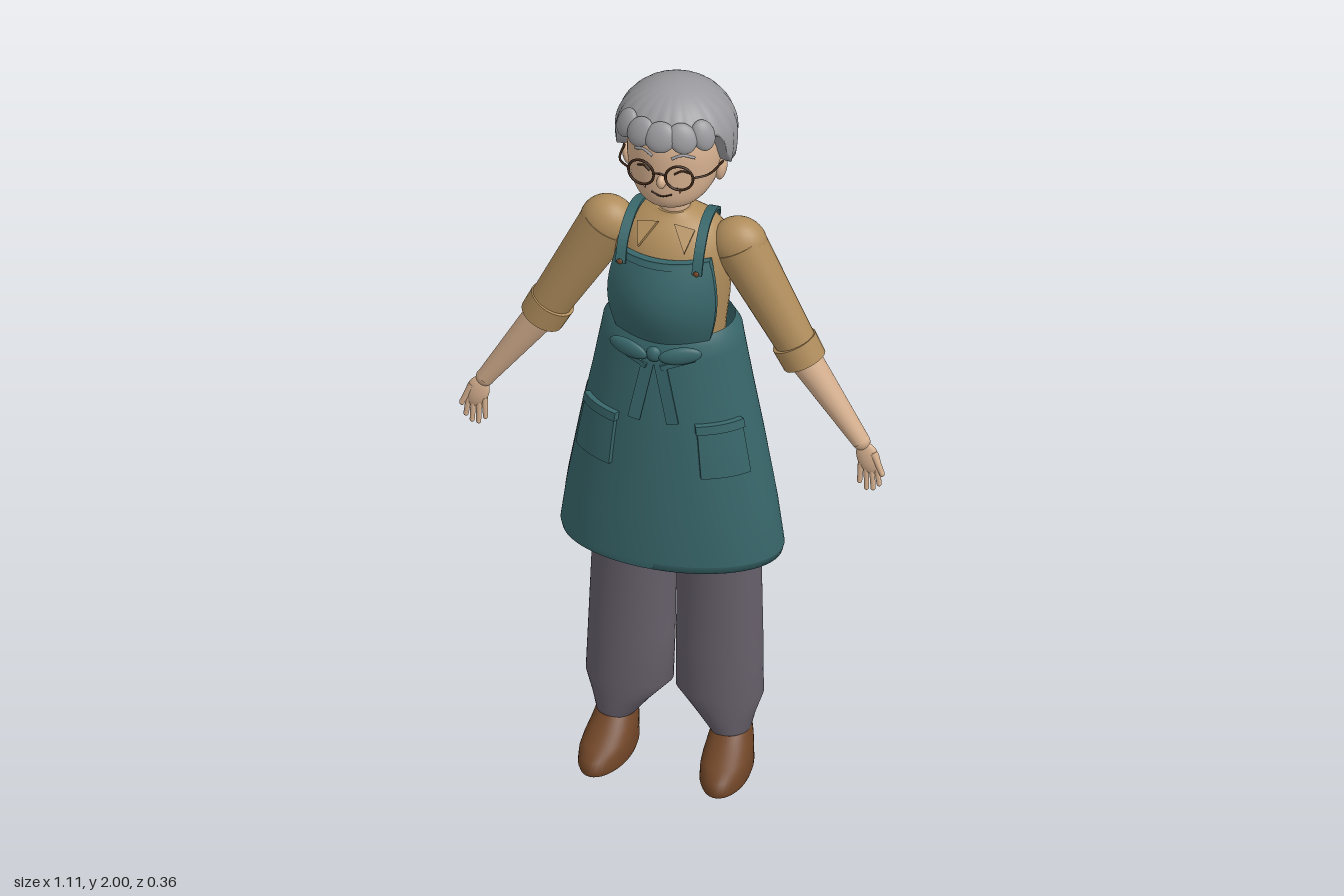
import * as THREE from 'three';

const mat = (name, color, side = THREE.FrontSide) => {
  const m = new THREE.MeshStandardMaterial({ color, side });
  m.name = name;
  return m;
};
const skin = mat('skin', 0xd6b08f);
const shirt = mat('tan shirt', 0xb08d5c);
const teal = mat('teal apron', 0x38666a, THREE.DoubleSide);
const grey = mat('grey trousers', 0x655e69);
const brown = mat('brown leather', 0x6f4527);
const silver = mat('silver hair', 0x9a9a9e);
const dark = mat('dark frame', 0x3c2618);

const V = (x, y, z) => new THREE.Vector3(x, y, z);
const { lerp, smoothstep, degToRad } = THREE.MathUtils;

// Closed-loop surface: rows run upward, columns run around; optional flat caps
function grid(fn, rows, cols, caps = false) {
  const pos = [], idx = [];
  for (let i = 0; i <= rows; i++)
    for (let j = 0; j < cols; j++) pos.push(...fn(i / rows, (j / cols) * Math.PI * 2, i, j));
  for (let i = 0; i < rows; i++)
    for (let j = 0; j < cols; j++) {
      const k = (j + 1) % cols, a = i * cols + j, c = i * cols + k;
      idx.push(a, a + cols, c, c, a + cols, c + cols);
    }
  if (caps)
    for (const top of [0, 1]) {
      const base = pos.length / 3, mid = [0, 0, 0];
      for (let j = 0; j < cols; j++) {
        const p = fn(top, (j / cols) * Math.PI * 2, top * rows, j);
        p.forEach((v, n) => (mid[n] += v / cols));
        pos.push(...p);
      }
      pos.push(...mid);
      for (let j = 0; j < cols; j++) {
        const a = base + j, b = base + ((j + 1) % cols);
        idx.push(base + cols, top ? b : a, top ? a : b);
      }
    }
  const g = new THREE.BufferGeometry();
  g.setAttribute('position', new THREE.Float32BufferAttribute(pos, 3));
  g.setIndex(idx);
  g.computeVertexNormals();
  return g;
}
// Stack of ellipses given as [y, cx, cz, rx, rz]
const loft = (r, caps = true, cols = 40) => grid((v, a, i) =>
  [r[i][1] + Math.cos(a) * r[i][3], r[i][0], r[i][2] + Math.sin(a) * r[i][4]], r.length - 1, cols, caps);

const SKIRT = [[0.655, 0, 0.007, 0.284, 0.165], [0.675, 0, 0.007, 0.289, 0.168], [0.8, 0, 0.007, 0.272, 0.165],
  [1, 0, 0.007, 0.236, 0.157], [1.15, 0, 0.005, 0.206, 0.148], [1.27, 0, 0.004, 0.184, 0.138],
  [1.305, 0, 0.003, 0.178, 0.134], [1.33, 0, 0, 0.158, 0.125]];
function skirtAt(y) {
  let i = 0;
  while (i < SKIRT.length - 2 && y > SKIRT[i + 1][0]) i++;
  const t = (y - SKIRT[i][0]) / (SKIRT[i + 1][0] - SKIRT[i][0]);
  return SKIRT[i].map((v, k) => lerp(v, SKIRT[i + 1][k], t));
}
// Reshape the points of a box by a rule
function warp(geo, fn) {
  const p = geo.attributes.position;
  for (let i = 0; i < p.count; i++) p.setXYZ(i, ...fn(p.getX(i), p.getY(i), p.getZ(i)));
  geo.computeVertexNormals();
  return geo;
}
// Thin plate wrapped on the skirt between two angles
const wrapped = (a0, a1, y0, y1, off, thick) => warp(new THREE.BoxGeometry(1, 1, 1, 10, 6, 1), (x, y, z) => {
  const a = degToRad(lerp(a1, a0, x + 0.5)), h = lerp(y0, y1, y + 0.5), s = skirtAt(h), o = off + z * thick;
  return [Math.cos(a) * (s[3] + o), h, s[2] + Math.sin(a) * (s[4] + o)];
});

const HEAD = V(0, 1.82, -0.02);
function headPoint(x, y, z) { // unit sphere point to head surface
  const q = Math.pow(Math.max(1e-6, 1 - y * y), -0.15);
  return [x * q * 0.123, HEAD.y + y * 0.14, HEAD.z + z * q * 0.12 + (y < 0 ? 0.05 * y * y : 0)];
}
function faceZ(x, y) {
  const t = (y - HEAD.y) / 0.14, r = Math.pow(1 - t * t, 0.35);
  return HEAD.z + 0.12 * Math.sqrt(Math.max(0, r * r - (x / 0.123) ** 2)) + (t < 0 ? 0.05 * t * t : 0);
}

export function createModel() {
  const root = new THREE.Group();
  const add = (name, geo, m, p = [0, 0, 0], rot = [0, 0, 0], sc = [1, 1, 1], parent = root) => {
    const mesh = new THREE.Mesh(geo, m);
    mesh.name = name;
    mesh.position.set(...p);
    mesh.rotation.set(...rot);
    mesh.scale.set(...sc);
    parent.add(mesh);
    return mesh;
  };
  const ball = (name, m, p, sc, rot) => add(name, new THREE.SphereGeometry(1, 24, 16), m, p, rot, sc);
  const limb = (name, m, a, b, ra, rb, seg = 24) => {
    const d = b.clone().sub(a), mesh = add(name, new THREE.CylinderGeometry(rb, ra, d.length(), seg), m);
    mesh.position.copy(a).addScaledVector(d, 0.5);
    mesh.quaternion.setFromUnitVectors(V(0, 1, 0), d.normalize());
    return mesh;
  };
  const line = (name, m, pts, r) =>
    add(name, new THREE.TubeGeometry(new THREE.CatmullRomCurve3(pts), 12, r, 6), m);
  const faceLine = (name, m, pts, r) => line(name, m, pts.map(([x, y]) => V(x, y, faceZ(x, y) + 0.001)), r);

  // Head, neck and nose
  add('head', warp(new THREE.SphereGeometry(1, 40, 30), headPoint), skin);
  limb('neck', skin, V(0, 1.6, -0.008), V(0, 1.74, -0.008), 0.041, 0.041);
  ball('nose', skin, [0, 1.778, 0.103], [0.012, 0.018, 0.015]);

  // Bobbed hair with ridged locks, cut higher over the forehead
  add('hair', grid((v, a, i) => {
    const s = Math.sin(a), t = Math.max(0, (i - 1) / 19);
    const edge = 1.792 + 0.108 * smoothstep(s, 0.12, 0.5) + 0.006 * Math.abs(Math.sin(a * 11));
    const y = lerp(edge, 2, Math.sin(t * Math.PI / 2));
    const h = (y - 1.86) / 0.14;
    const r = (h > 0 ? Math.sqrt(Math.max(0, 1 - h * h)) : 1 - 0.18 * h * h)
      * (i === 0 ? 0.68 : 1 - 0.035 * (1 - Math.abs(Math.sin(a * 11))) * (1 - t));
    return [Math.cos(a) * r * 0.156, y, -0.026 + s * r * 0.156];
  }, 20, 132), silver);
  [[-0.1, 0.5, 0.038], [-0.055, 0.65, 0.045], [0, 0.75, 0.05], [0.055, -0.55, 0.045], [0.1, -0.4, 0.038]].forEach(([x, tilt, w]) =>
    ball('fringeLock', silver, [x, 1.918, -0.03 + Math.sqrt(0.142 ** 2 - x * x)], [w * 0.8, 0.042, 0.018], [-0.35, x * 6, -tilt]));

  // Mouth and its creases
  faceLine('mouth', dark, [[-0.027, 1.742], [0, 1.734], [0.027, 1.742]], 0.0022);

  for (const s of [1, -1]) {
    // Face details
    ball('ear', skin, [s * 0.122, 1.772, -0.012], [0.014, 0.034, 0.022], [0, 0, -s * 0.15]);
    faceLine('eye', dark, [[s * 0.032, 1.803], [s * 0.05, 1.812], [s * 0.068, 1.803]], 0.0028);
    faceLine('eyebrow', silver, [[s * 0.025, 1.848], [s * 0.05, 1.857], [s * 0.078, 1.846]], 0.004);
    faceLine('smileLine', dark, [[s * 0.038, 1.764], [s * 0.044, 1.755], [s * 0.046, 1.746]], 0.001);

    // Glasses
    add('glassesRim', new THREE.TorusGeometry(0.035, 0.0035, 8, 32), dark, [s * 0.05, 1.805, 0.113], [0, s * 0.15, 0]);
    line('glassesTemple', dark, [V(s * 0.084, 1.808, 0.107), V(s * 0.115, 1.808, 0.08), V(s * 0.13, 1.798, -0.01)], 0.003);

    // Rolled sleeve and arm
    const shoulder = V(s * 0.172, 1.56, -0.003), elbow = V(s * 0.338, 1.262, 0);
    ball('shoulder', shirt, shoulder.toArray(), [0.073, 0.073, 0.06]);
    limb('sleeve', shirt, shoulder, elbow, 0.071, 0.052).scale.z = 0.88;
    const cuffTop = V(s * 0.316, 1.297, 0), cuffEnd = V(s * 0.344, 1.243, 0);
    limb('sleeveCuff', shirt, cuffTop, cuffEnd, 0.06, 0.058).scale.z = 0.92;
    const wrist = V(s * 0.492, 1.03, 0.002);
    limb('forearm', skin, V(s * 0.33, 1.27, 0), wrist, 0.044, 0.023);
    ball('wrist', skin, wrist.toArray(), [0.024, 0.024, 0.02]);
    ball('palm', skin, [s * 0.512, 0.985, 0.004], [0.03, 0.048, 0.014], [0, 0, s * 0.3]);
    [[0.493, 0.49, 0.915], [0.507, 0.508, 0.898], [0.521, 0.525, 0.9], [0.533, 0.541, 0.915]].forEach(([x0, x1, y]) => {
      limb('finger', skin, V(s * x0, 0.97, 0.005), V(s * x1, y, 0.007), 0.008, 0.0065, 10);
      ball('fingertip', skin, [s * x1, y, 0.007], [0.0065, 0.0075, 0.0065]);
    });
    limb('thumb', skin, V(s * 0.525, 1.005, 0.006), V(s * 0.55, 0.95, 0.012), 0.01, 0.007, 10);
    ball('thumbTip', skin, [s * 0.55, 0.95, 0.012], [0.007, 0.009, 0.007]);

    // Trouser leg, gathered at the ankle
    add('trouserLeg', loft([[0.105, s * 0.148, -0.005, 0.052, 0.058], [0.15, s * 0.136, -0.007, 0.075, 0.067],
      [0.21, s * 0.118, -0.012, 0.113, 0.074], [0.35, s * 0.115, -0.021, 0.112, 0.082], [0.65, s * 0.11, -0.032, 0.107, 0.088],
      [0.95, s * 0.1, -0.015, 0.1, 0.1], [1.2, s * 0.075, 0, 0.075, 0.09]]), grey);

    // Slip-on shoe
    add('shoe', loft([[0, 0, 0.048, 0.06, 0.128], [0.012, 0, 0.048, 0.064, 0.133], [0.04, 0, 0.045, 0.063, 0.129],
      [0.058, 0, 0.03, 0.061, 0.113], [0.08, 0, 0.006, 0.056, 0.087], [0.108, 0, -0.012, 0.05, 0.066]]),
      brown, [s * 0.151, 0, 0], [0, s * 0.08, 0]);

    // Shirt collar flap
    const flap = new THREE.Shape([[0, 0.035], [0.055, 0.03], [0.04, -0.035]].map(([x, y]) => new THREE.Vector2(s * x, y)));
    add('collarFlap', new THREE.ExtrudeGeometry(flap, { depth: 0.01, bevelEnabled: false }), shirt,
      [s * 0.02, 1.6, 0.082], [-0.75, s * 0.15, 0]);

    // Shoulder strap with its button and the crossed ends on the back
    const curve = new THREE.CatmullRomCurve3([V(s * 0.1, 1.53, 0.126), V(s * 0.1, 1.585, 0.103), V(s * 0.097, 1.63, 0.05),
      V(s * 0.094, 1.637, -0.005), V(s * 0.088, 1.61, -0.07), V(s * 0.078, 1.565, -0.105)]);
    const strap = grid((v, a, i, j) => {
      const p = curve.getPoint(v), t = curve.getTangent(v), o = j < 2 ? 0.004 : -0.004;
      return [p.x + (j === 0 || j === 3 ? 0.013 : -0.013), p.y + t.z * -o, p.z + t.y * o];
    }, 20, 4, true).toNonIndexed();
    strap.computeVertexNormals();
    add('apronStrap', strap, teal);
    ball('strapButton', brown, [s * 0.1, 1.538, 0.133], [0.008, 0.008, 0.004]);
    [[0.055, 1.5, 0.02], [0.02, 1.43, 0.016], [0.06, 1.355, 0.05]].forEach(([x, y, len]) =>
      add('backStrap', new THREE.BoxGeometry(0.02, len, 0.008), teal, [s * x, y, -0.116], [0, s * 0.15, -s * 0.6]));

    // Hip pocket with a hemmed top
    const [a0, a1] = s > 0 ? [27, 62] : [118, 153];
    add('pocket', wrapped(a0, a1, 0.94, 1.085, 0.004, 0.014), teal);
    add('pocketHem', wrapped(a0 - 1, a1 + 1, 1.068, 1.092, 0.007, 0.016), teal);

    // Bow loop and tails
    ball('bowLoop', teal, [s * 0.068, 1.305, 0.163], [0.055, 0.024, 0.013], [0, s * 0.25, s * 0.15]);
    add('bowTail', new THREE.BoxGeometry(0.032, 0.2, 0.006), teal, [s * 0.031, 1.2, 0.168], [-0.03, 0, s * 0.2]);
    add('bowLowerLoop', new THREE.BoxGeometry(0.09, 0.014, 0.008), teal, [s * 0.06, 1.278, 0.158], [0, s * 0.3, s * 0.3]);
  }
  line('glassesBridge', dark, [V(-0.016, 1.81, 0.118), V(0, 1.815, 0.122), V(0.016, 1.81, 0.118)], 0.003);

  // Shirt body
  add('shirtBody', loft([[1.24, 0, 0, 0.13, 0.108], [1.32, 0, 0, 0.136, 0.112], [1.4, 0, 0.002, 0.146, 0.119],
    [1.48, 0, 0.002, 0.15, 0.12], [1.54, 0, 0, 0.148, 0.114], [1.585, 0, -0.004, 0.138, 0.098],
    [1.615, 0, -0.006, 0.115, 0.075], [1.632, 0, -0.008, 0.08, 0.055], [1.645, 0, -0.008, 0.048, 0.047]]), shirt);

  // Apron: skirt, hem, bib and bow knot
  add('apronSkirt', loft(SKIRT, false, 64), teal);
  add('apronHem', loft([[0.675, 0, 0.007, 0.289, 0.168], [0.655, 0, 0.007, 0.284, 0.165], [0.668, 0, 0.007, 0.272, 0.154]], false, 64), teal);
  const bib = (y0, y1, off, thick) => warp(new THREE.BoxGeometry(1, 1, 1, 14, 10, 1), (x, y, z) => {
    const h = lerp(y0, y1, y + 0.5), t = (h - 1.3) / 0.25;
    const half = 0.118 + 0.024 * Math.sin(Math.PI * Math.min(1, t * 0.95)), px = x * 2 * half;
    return [px, h, 0.121 + 0.034 * Math.sin(Math.PI * Math.min(1, t)) - 3 * px * px + off + z * thick];
  });
  add('apronBib', bib(1.3, 1.55, 0, 0.016), teal);
  add('bibHem', bib(1.535, 1.553, 0.002, 0.02), teal);
  add('bowKnot', new THREE.SphereGeometry(1, 12, 10), teal, [0, 1.302, 0.168], [0, 0, 0], [0.02, 0.022, 0.014]);

  // Trouser cloth showing at the side of the skirt
  add('sidePatch', wrapped(182, 217, 0.75, 1.07, 0.002, 0.004), grey);

  return root;
}
